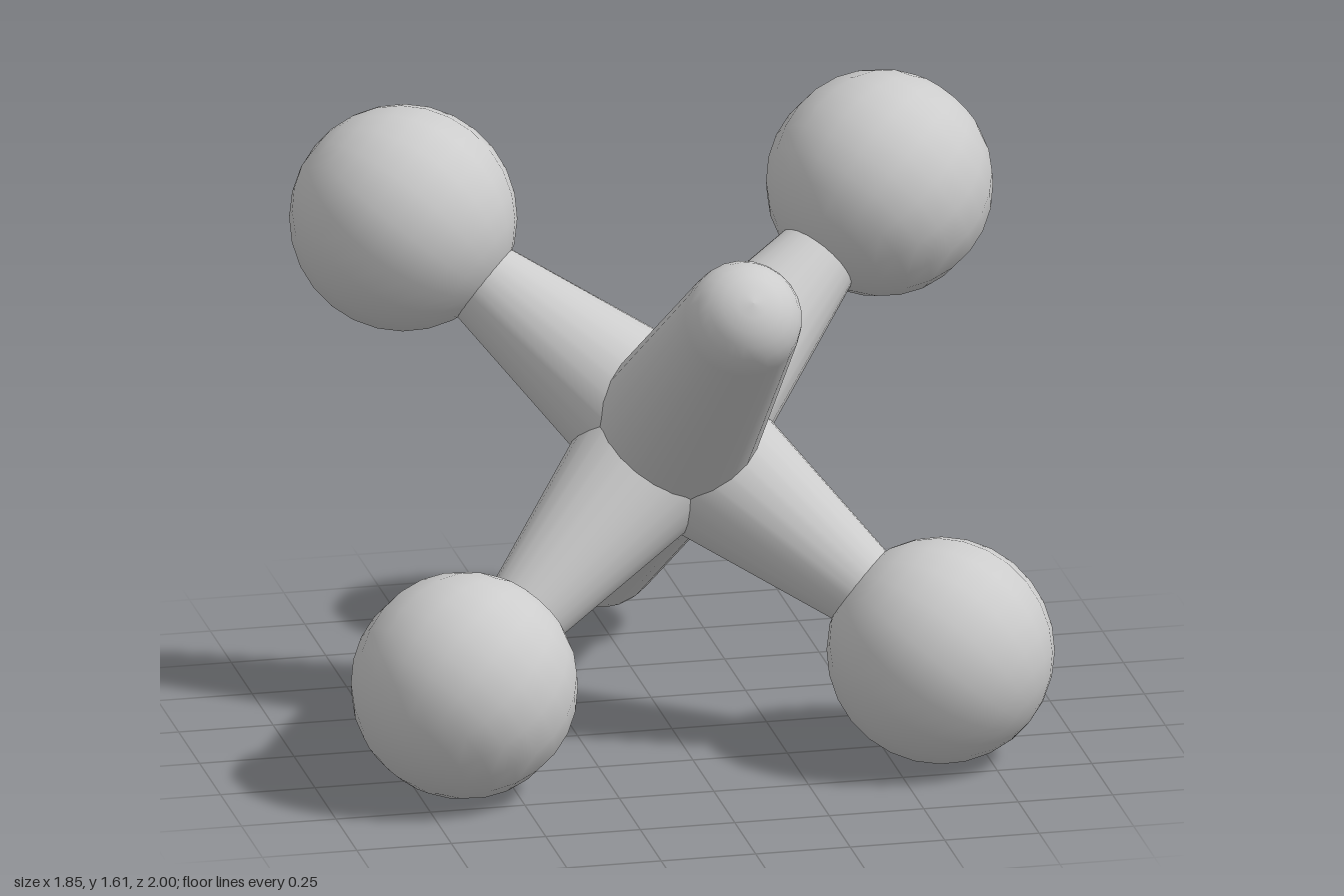
import * as THREE from 'three';

export function createModel() {
  const group = new THREE.Group();
  const metal = new THREE.MeshStandardMaterial({ color: 0xcccccc });
  metal.name = 'light grey metal';
  const up = new THREE.Vector3(0, 1, 0);
  const centre = new THREE.Vector3(0, 0.813, 0);

  // Place a part built along +y so it points outward from the hub
  const addArm = (name, dir, geometries) => {
    const arm = new THREE.Group();
    arm.name = name;
    arm.position.copy(centre);
    arm.quaternion.setFromUnitVectors(up, dir.clone().normalize());
    for (const [part, geometry] of Object.entries(geometries)) {
      const mesh = new THREE.Mesh(geometry, metal);
      mesh.name = part;
      arm.add(mesh);
    }
    group.add(arm);
  };

  // Long tapered spike with a rounded tip
  const tipR = 0.153, tipY = 1.042;
  const profile = [new THREE.Vector2(0.22, 0)];
  for (let i = 0; i <= 6; i++) {
    const a = (i / 6) * Math.PI / 2;
    profile.push(new THREE.Vector2(i === 6 ? 0 : tipR * Math.cos(a), tipY + tipR * Math.sin(a)));
  }
  const spike = new THREE.LatheGeometry(profile, 24);

  // Short tapered stem ending in a ball
  const stem = new THREE.CylinderGeometry(0.104, 0.22, 0.67, 24, 1, true).translate(0, 0.335, 0);
  const ball = new THREE.SphereGeometry(0.295, 18, 14).translate(0, 0.892, 0);

  for (const s of [1, -1]) {
    const end = s > 0 ? 'upper' : 'lower';
    addArm(end + 'Spike', new THREE.Vector3(0, 0.58 * s, 0.815 * s), { spike });
    for (const x of [1, -1]) {
      addArm(end + (x > 0 ? 'Left' : 'Right') + 'BallArm',
        new THREE.Vector3(0.63 * x, 0.515 * s, -0.365 * s), { stem, ball });
    }
  }
  return group;
}
